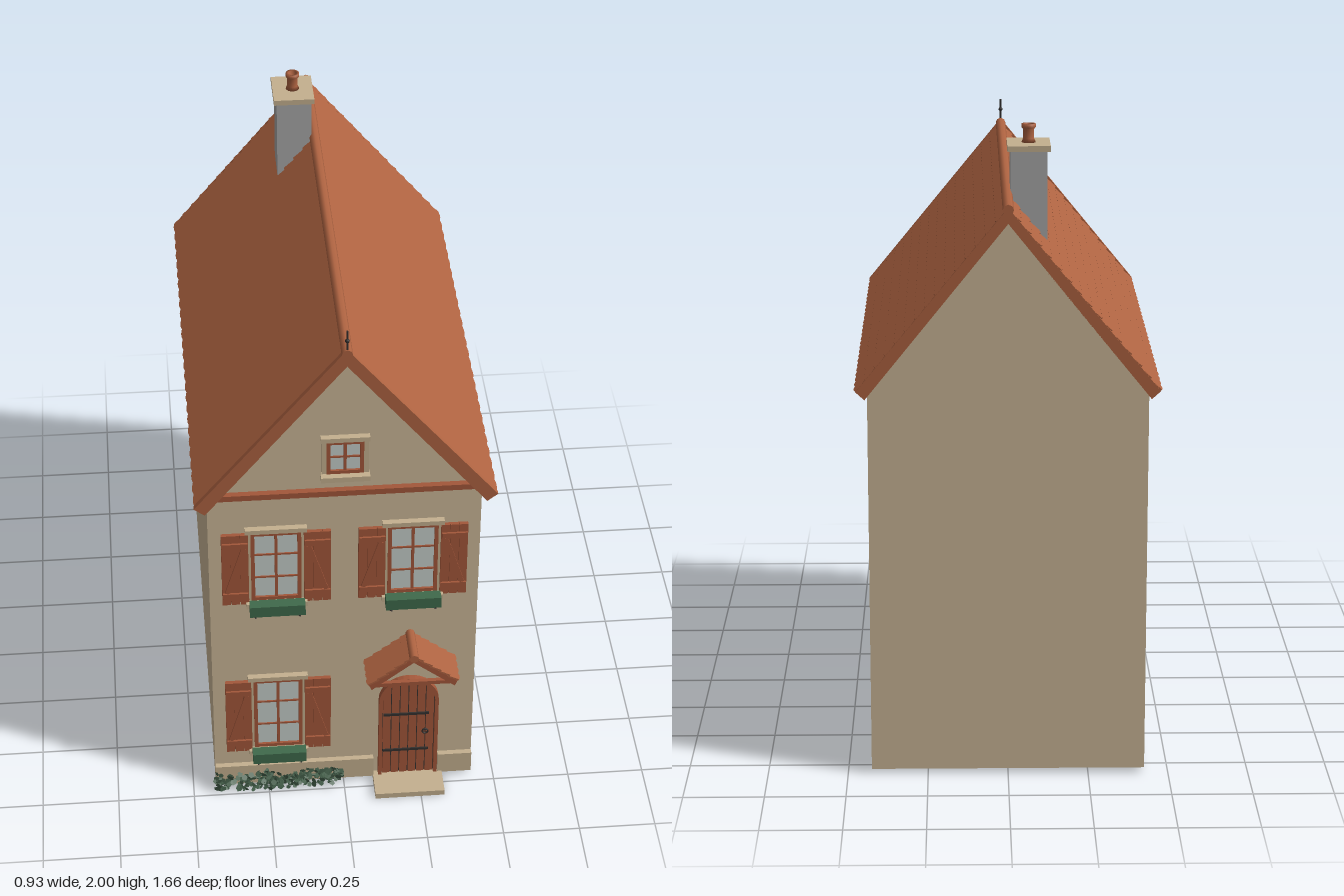
import * as THREE from 'three';
import { mergeGeometries } from 'three/addons/utils/BufferGeometryUtils.js';

const mat = (name, color, side = THREE.FrontSide) => {
  const m = new THREE.MeshStandardMaterial({ color, side });
  m.name = name;
  return m;
};

export function createModel() {
  const plaster = mat('plaster', 0xccb898), stone = mat('stone', 0xc4b08f);
  const innerPlaster = mat('inner plaster', 0xb89070), tile = mat('terracotta', 0xae6341);
  const wood = mat('wood', 0xa3573a), iron = mat('iron', 0x33302e);
  const glass = mat('glass', 0xc6cfcb), chimneyGrey = mat('chimney grey', 0xa8a8a8);
  const planterGreen = mat('planter green', 0x3f6a4b), leafGreen = mat('leaf green', 0x45604b, THREE.DoubleSide);

  const house = new THREE.Group();
  house.name = 'house';
  const FRONT = 0.7, BACK = -0.82;

  const add = (name, geo, m, parent = house) => {
    const mesh = new THREE.Mesh(geo, m);
    mesh.name = name;
    parent.add(mesh);
    return mesh;
  };
  const group = (name, x = 0, y = 0, z = 0, parent = house) => {
    const g = new THREE.Group();
    g.name = name;
    g.position.set(x, y, z);
    parent.add(g);
    return g;
  };
  const box = (name, m, w, h, d, x, y, z, parent) => {
    const mesh = add(name, new THREE.BoxGeometry(w, h, d), m, parent);
    mesh.position.set(x, y, z);
    return mesh;
  };
  const poly = pts => new THREE.Shape(pts.map(p => new THREE.Vector2(p[0], p[1])));
  // Flat outline in x and y, extruded between two z values
  const slab = (shape, z0, z1) =>
    new THREE.ExtrudeGeometry(shape, { depth: z1 - z0, bevelEnabled: false, curveSegments: 12 }).translate(0, 0, z0);
  const rod = (name, m, a, b, r, parent) => {
    const p = new THREE.Vector3(...a), q = new THREE.Vector3(...b);
    const mesh = add(name, new THREE.CylinderGeometry(r, r, p.distanceTo(q), 8), m, parent);
    mesh.position.copy(p).add(q).multiplyScalar(0.5);
    mesh.quaternion.setFromUnitVectors(new THREE.Vector3(0, 1, 0), q.sub(p).normalize());
    return mesh;
  };
  // Overlapping scalloped courses on one roof slope, from eave to ridge
  const tiledSlope = (name, side, eave, ridge, z0, z1, rows, tileWidth, t, parent) => {
    const len = Math.hypot(eave[0], ridge - eave[1]), step = len / rows, W = z1 - z0;
    const n = Math.round(W / tileWidth), w = W / n, courses = [];
    for (let i = 0; i < rows; i++) {
      const h = i === rows - 1 ? step : step * 1.12;
      const s = new THREE.Shape();
      s.moveTo(-W / 2, h);
      s.lineTo(-W / 2, 0);
      for (let k = 0; k < n; k++) s.quadraticCurveTo(-W / 2 + (k + 0.5) * w, -step * 0.22, -W / 2 + (k + 1) * w, 0);
      s.lineTo(W / 2, h);
      const g = new THREE.ExtrudeGeometry(s, { depth: t, bevelEnabled: false, curveSegments: 3 });
      courses.push(g.rotateX(-Math.asin(t / step)).translate(0, i * step, t * 0.4));
    }
    const X = new THREE.Vector3(0, 0, -side);
    const Y = new THREE.Vector3(-side * eave[0], ridge - eave[1], 0).normalize();
    const M = new THREE.Matrix4().makeBasis(X, Y, X.clone().cross(Y));
    M.setPosition(side * eave[0], eave[1], (z0 + z1) / 2);
    return add(name, mergeGeometries(courses).applyMatrix4(M), tile, parent);
  };
  const chevron = (ax, ox, oy, ix, iy, bx) =>
    poly([[0, ax], [-ox, oy], [-ix, iy], [0, bx], [ix, iy], [ox, oy]]);

  // Hollow walls, open underneath
  const wallH = 1.205, wallY = 0.015 + wallH / 2;
  for (const s of [-1, 1]) box('sideWall', plaster, 0.045, wallH, FRONT - BACK, s * 0.4035, wallY, (FRONT + BACK) / 2);
  box('backWall', plaster, 0.764, wallH, 0.045, 0, wallY, BACK + 0.0225);
  box('frontWallCore', innerPlaster, 0.764, wallH, 0.045, 0, wallY, FRONT - 0.0265);
  box('frontWall', plaster, 0.764, wallH, 0.004, 0, wallY, FRONT - 0.002);
  add('gables', slab(poly([[-0.426, 1.22], [0.426, 1.22], [0, 1.755]]), BACK, FRONT), plaster);
  box('gableBand', wood, 0.85, 0.02, 0.022, 0, 1.235, FRONT + 0.009);
  box('plinthLeft', stone, 0.525, 0.08, 0.018, -0.1635, 0.055, FRONT + 0.009);
  box('plinthRight', stone, 0.113, 0.08, 0.018, 0.3695, 0.055, FRONT + 0.009);

  // Main roof
  const roof = group('roof');
  add('roofBase', slab(chevron(1.788, 0.455, 1.233, 0.432, 1.212, 1.745), BACK, 0.75), tile, roof);
  for (const s of [-1, 1]) tiledSlope('roofTiles', s, [0.457, 1.232], 1.788, BACK, 0.75, 15, 0.058, 0.007, roof);
  add('frontVerge', slab(chevron(1.808, 0.467, 1.236, 0.434, 1.21, 1.748), 0.745, 0.762), tile, roof);
  add('backVerge', slab(chevron(1.798, 0.461, 1.235, 0.434, 1.21, 1.75), BACK - 0.004, BACK + 0.01), tile, roof);
  rod('ridge', tile, [0, 1.792, -0.828], [0, 1.792, 0.765], 0.017, roof);
  rod('finial', iron, [0, 1.79, 0.76], [0, 1.875, 0.76], 0.003, roof);
  add('finialBall', new THREE.SphereGeometry(0.007, 10, 8), iron, roof).position.set(0, 1.84, 0.76);

  // Chimney
  const chimney = group('chimney', -0.067, 0, -0.517);
  box('chimneyStack', chimneyGrey, 0.113, 0.36, 0.133, 0, 1.745, 0, chimney);
  box('chimneyCap', stone, 0.132, 0.018, 0.154, 0, 1.934, 0, chimney);
  const pot = [[0, 0], [0.022, 0], [0.017, 0.012], [0.017, 0.04], [0.022, 0.046], [0.022, 0.057], [0.014, 0.057], [0.013, 0.03], [0, 0.03]];
  add('chimneyPot', new THREE.LatheGeometry(pot.map(p => new THREE.Vector2(...p)), 16), tile, chimney).position.y = 1.943;

  // Window with frame, glazing bars, lintel, jambs and sill
  const windowUnit = (name, x, y0, y1, w, rows) => {
    const g = group(name, x, 0, FRONT), h = y1 - y0, cy = (y0 + y1) / 2, f = 0.012;
    box('glass', glass, w, h, 0.006, 0, cy, 0.003, g);
    for (const s of [-1, 1]) {
      box('frameSide', wood, f, h, 0.014, s * (w - f) / 2, cy, 0.007, g);
      box('frameEnd', wood, w, f, 0.014, 0, cy + s * (h - f) / 2, 0.007, g);
      box('jamb', stone, 0.015, h, 0.012, s * (w + 0.015) / 2, cy, 0.006, g);
    }
    box('mullion', wood, 0.009, h, 0.012, 0, cy, 0.006, g);
    for (let i = 1; i < rows; i++) box('glazingBar', wood, w, 0.006, 0.01, 0, y0 + h * i / rows, 0.005, g);
    box('lintel', stone, w + 0.036, 0.016, 0.02, 0, y1 + 0.008, 0.01, g);
    box('sill', stone, w + 0.036, 0.018, 0.034, 0, y0 - 0.009, 0.017, g);
    return g;
  };

  // Plank shutter with two ledges and a diagonal brace
  const shutter = (parent, s, y0, y1) => {
    const h = y1 - y0, g = group('shutter', s * 0.129, (y0 + y1) / 2, 0.016, parent);
    for (let i = -1; i <= 1; i++) box('shutterPlank', wood, 0.0265, h, 0.01, i * 0.0288, 0, 0, g);
    box('shutterBacking', wood, 0.084, h - 0.01, 0.012, 0, 0, -0.008, g);
    for (const e of [-1, 1]) box('shutterLedge', wood, 0.08, 0.02, 0.008, 0, e * h * 0.36, 0.008, g);
    const dy = h * 0.64, dx = 0.055;
    box('shutterBrace', wood, 0.014, Math.hypot(dx, dy), 0.007, 0, 0, 0.007, g).rotation.z = s * Math.atan2(dx, dy);
  };

  // Window box on two iron brackets
  const planter = (parent, top) => {
    const g = group('planter', 0, top, 0, parent);
    box('planterTrough', planterGreen, 0.175, 0.04, 0.036, 0, -0.02, 0.053, g);
    for (const s of [-1, 1]) {
      rod('bracketArm', iron, [s * 0.07, -0.043, 0], [s * 0.07, -0.043, 0.07], 0.003, g);
      rod('bracketStay', iron, [s * 0.07, -0.097, 0], [s * 0.07, -0.043, 0.07], 0.003, g);
    }
  };
  for (const [name, x, y0, y1] of [['upperLeftWindow', 0.214, 0.815, 1.088], ['upperRightWindow', -0.215, 0.815, 1.088], ['lowerWindow', -0.215, 0.175, 0.47]]) {
    const g = windowUnit(name, x, y0, y1, 0.158, 3);
    for (const s of [-1, 1]) shutter(g, s, y0 - 0.008, y1);
    planter(g, y0 + 0.018);
  }
  windowUnit('gableWindow', 0, 1.308, 1.432, 0.115, 2);

  // Arched plank door
  const door = group('door', 0.213, 0, FRONT), spring = 0.348;
  const arch = r => Array.from({ length: 17 }, (_, i) => [r * Math.cos(Math.PI * i / 16), spring + r * Math.sin(Math.PI * i / 16)]);
  const outline = r => [[r, 0.018], ...arch(r), [-r, 0.018]];
  add('doorFrame', slab(poly([...outline(0.098), ...outline(0.086).reverse()]), 0, 0.02), wood, door);
  add('doorBacking', slab(poly(outline(0.087)), 0, 0.005), iron, door);
  for (let i = 0; i < 6; i++) {
    const x0 = -0.085 + i * 0.17 / 6 + 0.0015, x1 = x0 + 0.17 / 6 - 0.003, pts = [[x0, 0.02], [x1, 0.02]];
    for (let k = 0; k <= 4; k++) {
      const x = x1 + (x0 - x1) * k / 4;
      pts.push([x, spring + Math.sqrt(0.086 ** 2 - x * x)]);
    }
    add('doorPlank', slab(poly(pts), 0.004, 0.011), wood, door);
  }
  for (const y of [0.285, 0.125]) box('doorStrap', iron, 0.15, 0.009, 0.005, -0.008, y, 0.013, door);
  add('doorHandle', new THREE.TorusGeometry(0.009, 0.003, 8, 16), iron, door).position.set(0.056, 0.205, 0.015);
  box('doorstep', stone, 0.23, 0.02, 0.11, 0.213, 0.01, FRONT + 0.055);

  // Tiled porch canopy on wooden brackets
  const canopy = group('canopy', 0.213, 0, 0);
  add('canopyBase', slab(chevron(0.628, 0.142, 0.518, 0.134, 0.498, 0.606), FRONT, 0.818), wood, canopy);
  for (const s of [-1, 1]) {
    tiledSlope('canopyTiles', s, [0.143, 0.518], 0.63, FRONT, 0.82, 5, 0.03, 0.006, canopy);
    const x = s * 0.113;
    box('bracketPost', wood, 0.014, 0.09, 0.014, x, 0.462, FRONT + 0.007, canopy);
    box('bracketBeam', wood, 0.014, 0.016, 0.105, x, 0.505, FRONT + 0.053, canopy);
    rod('bracketStrut', wood, [x, 0.425, FRONT + 0.005], [x, 0.5, FRONT + 0.085], 0.006, canopy);
  }
  box('canopyTieBeam', wood, 0.226, 0.014, 0.014, 0, 0.506, 0.8, canopy);
  rod('canopyRidge', tile, [0, 0.63, FRONT], [0, 0.63, 0.828], 0.015, canopy);

  // Creeping plant along the plinth
  let seed = 7;
  const rnd = () => (seed = (seed * 16807) % 2147483647) / 2147483647;
  const leaves = [];
  for (let i = 0; i < 240; i++) {
    const x = -0.425 + rnd() * 0.42, reach = 0.045 + 0.025 * Math.abs(Math.sin(x * 17));
    leaves.push(new THREE.CircleGeometry(0.007 + rnd() * 0.005, 5)
      .rotateZ(rnd() * 6).rotateX((rnd() - 0.7) * 1.4).rotateY((rnd() - 0.5) * 1.6)
      .translate(x, 0.01 + rnd() * reach, FRONT + 0.022 + rnd() * 0.024));
  }
  add('plantLeaves', mergeGeometries(leaves), leafGreen);
  const stem = [[-0.42, 0.02], [-0.32, 0.05], [-0.22, 0.025], [-0.12, 0.045], [-0.01, 0.015]];
  const curve = new THREE.CatmullRomCurve3(stem.map(p => new THREE.Vector3(p[0], p[1], FRONT + 0.025)));
  add('plantStem', new THREE.TubeGeometry(curve, 24, 0.004, 6), leafGreen);

  return house;
}
